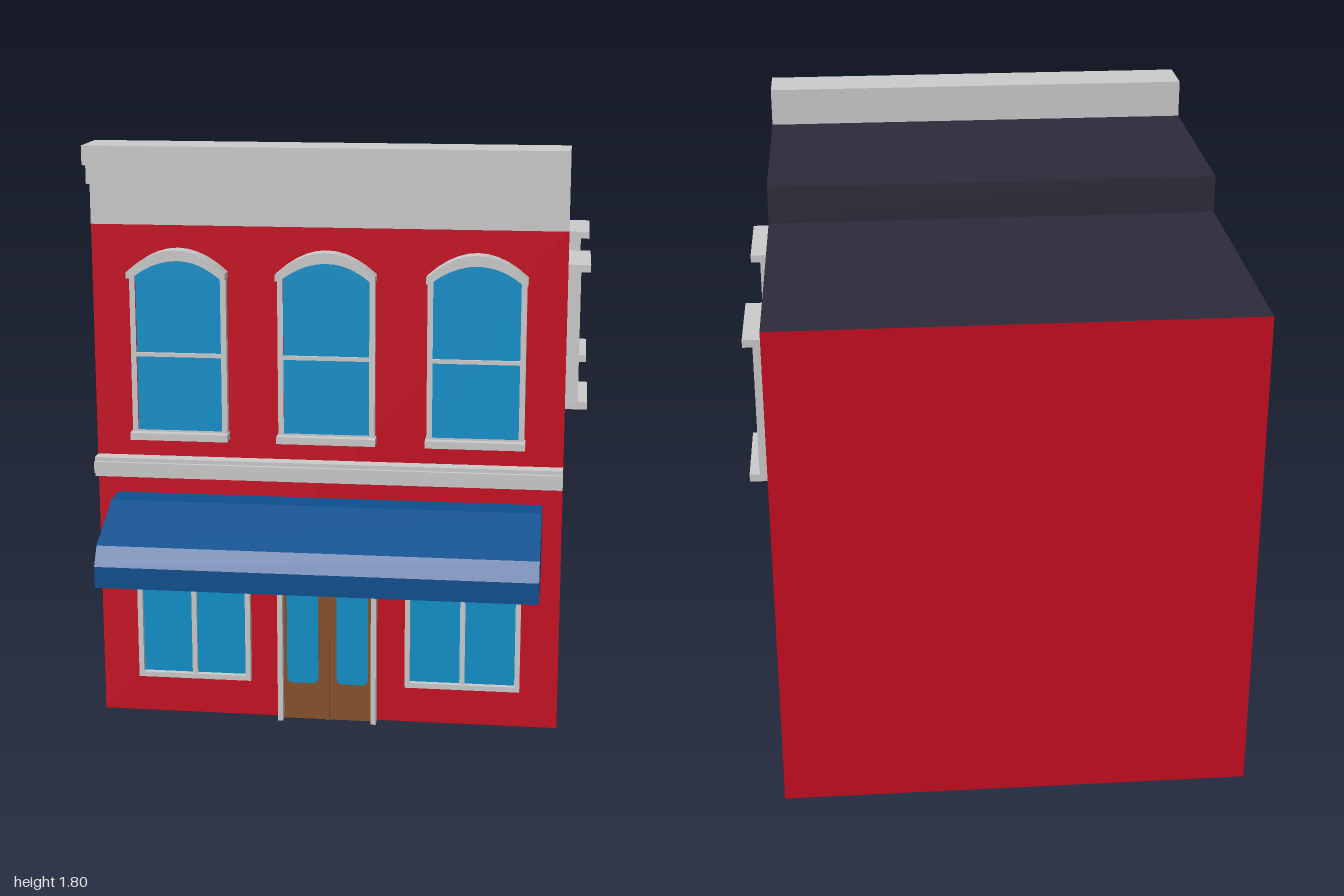
import * as THREE from 'three';

const mat = (name, color, side = THREE.FrontSide) => {
  const m = new THREE.MeshStandardMaterial({ color, side });
  m.name = name;
  return m;
};

export function createModel() {
  const brick = mat('brick red', 0xc60d20, THREE.DoubleSide);
  const roofing = mat('roof slate', 0x2d2b3a, THREE.DoubleSide);
  const trim = mat('trim grey', 0xcacbca);
  const glass = mat('window blue', 0x0e90ca);
  const canvas = mat('awning blue', 0x0d5090, THREE.DoubleSide);
  const wood = mat('door brown', 0x85522c);

  const W = 0.715, FRONT = 0.68, BACK = -1;
  const model = new THREE.Group();
  model.name = 'shopBuilding';

  const add = (parent, name, geometry, material) => {
    const mesh = new THREE.Mesh(geometry, material);
    mesh.name = name;
    parent.add(mesh);
    return mesh;
  };
  // Box given by its limits on each axis
  const box = (parent, name, material, x0, x1, y0, y1, z0, z1) => {
    const g = new THREE.BoxGeometry(x1 - x0, y1 - y0, z1 - z0);
    g.translate((x0 + x1) / 2, (y0 + y1) / 2, (z0 + z1) / 2);
    return add(parent, name, g, material);
  };
  const shapeOf = (pts) => new THREE.Shape(pts.map(([a, b]) => new THREE.Vector2(a, b)));
  // Flat extrusion of an x,y outline from z0 to z1
  const plate = (parent, name, material, shape, z0, z1) => {
    const g = new THREE.ExtrudeGeometry(shape, { depth: z1 - z0, bevelEnabled: false, curveSegments: 4 });
    g.translate(0, 0, z0);
    return add(parent, name, g, material);
  };
  // Extrusion of a z,y profile along x
  const profile = (parent, name, material, pts, x0, x1) => {
    const shape = shapeOf(pts.map(([z, y]) => [-z, y]));
    const g = new THREE.ExtrudeGeometry(shape, { depth: x1 - x0, bevelEnabled: false });
    g.translate(0, 0, x0);
    g.rotateY(Math.PI / 2);
    return add(parent, name, g, material);
  };

  // Walls: a thin shell, open underneath
  const LOW = 1.555, HIGH = 1.675, STEP = -0.1, PARAPET = 0.6;
  const sideOutline = [[BACK, 0], [FRONT, 0], [FRONT, LOW], [PARAPET, LOW], [PARAPET, HIGH], [STEP, HIGH], [STEP, LOW], [BACK, LOW]];
  for (const s of [1, -1]) {
    const g = new THREE.ShapeGeometry(shapeOf(sideOutline.map(([z, y]) => [-s * z, y])));
    g.rotateY(s * Math.PI / 2);
    g.translate(s * W, 0, 0);
    add(model, s > 0 ? 'leftWall' : 'rightWall', g, brick);
  }
  const wall = (name, z, turn) => {
    const g = new THREE.PlaneGeometry(2 * W, LOW);
    g.rotateY(turn);
    g.translate(0, LOW / 2, z);
    add(model, name, g, brick);
  };
  wall('frontWall', FRONT, 0);
  wall('backWall', BACK, Math.PI);

  // Roof in two levels with a riser between
  const roof = (name, z0, z1, y) => {
    const g = new THREE.PlaneGeometry(2 * W, z1 - z0);
    g.rotateX(-Math.PI / 2);
    g.translate(0, y, (z0 + z1) / 2);
    add(model, name, g, roofing);
  };
  roof('lowerRoof', BACK, STEP, LOW);
  roof('upperRoof', STEP, PARAPET, HIGH);
  const riser = new THREE.PlaneGeometry(2 * W, HIGH - LOW);
  riser.rotateY(Math.PI);
  riser.translate(0, (LOW + HIGH) / 2, STEP);
  add(model, 'roofRiser', riser, roofing);

  // Stepped cornice along the top of the front
  profile(model, 'cornice', trim, [[0.6, LOW], [0.682, LOW], [0.682, 1.68], [0.725, 1.68],
    [0.725, 1.74], [0.768, 1.74], [0.768, 1.798], [0.6, 1.798]], -W, W);

  // Belt course between the floors
  box(model, 'beltCourse', trim, -W, W, 0.78, 0.84, FRONT - 0.004, 0.724);
  box(model, 'beltMoulding', trim, -W, W, 0.793, 0.828, 0.72, 0.735);

  // Awning: thin folded canvas with closed ends, open below
  const fold = [[0.676, 0.72], [0.77, 0.72], [0.965, 0.635], [1, 0.58], [1, 0.515]];
  const lining = [[0.994, 0.515], [0.994, 0.578], [0.961, 0.63], [0.769, 0.714], [0.676, 0.714]];
  profile(model, 'awningCanvas', canvas, [...fold, ...lining], -0.655, 0.655);
  for (const s of [1, -1]) {
    profile(model, 'awningEnd', canvas, [...fold, [0.676, 0.515]], s * 0.652 - 0.003, s * 0.652 + 0.003);
  }

  // Windows are made against a wall at z = 0, facing +z
  const windowGroup = (name, x, z, turn) => {
    const g = new THREE.Group();
    g.name = name;
    g.position.set(x, 0, z);
    g.rotation.y = turn;
    model.add(g);
    return g;
  };
  // Rectangular ring of trim
  const ring = (parent, name, x0, x1, y0, y1, t, z0, z1) => {
    const shape = shapeOf([[x0, y0], [x1, y0], [x1, y1], [x0, y1]]);
    shape.holes.push(shapeOf([[x0 + t, y0 + t], [x0 + t, y1 - t], [x1 - t, y1 - t], [x1 - t, y0 + t]]));
    plate(parent, name, trim, shape, z0, z1);
  };

  // Upper front windows with arched hoods
  const arch = (half, spring, crown) => Array.from({ length: 11 }, (_, i) => {
    const t = i / 5 - 1;
    return [half * t, spring + (crown - spring) * (1 - t * t)];
  });
  for (const x of [-0.45, 0, 0.45]) {
    const g = windowGroup('archedWindow', x, FRONT, 0);
    const inner = arch(0.132, 1.405, 1.452);
    plate(g, 'archedGlass', glass, shapeOf([[0.132, 0.92], [-0.132, 0.92], ...inner]), 0.002, 0.008);
    const frame = shapeOf([[0.147, 0.91], [-0.147, 0.91], ...arch(0.147, 1.41, 1.465)]);
    frame.holes.push(shapeOf([[0.13, 0.928], [-0.13, 0.928], ...arch(0.13, 1.403, 1.45)]));
    plate(g, 'archedFrame', trim, frame, -0.004, 0.025);
    const hood = [...arch(0.15, 1.418, 1.487), ...arch(0.138, 1.4, 1.457).reverse()];
    hood.splice(11, 0, [0.15, 1.4]);
    hood.push([-0.15, 1.4]);
    plate(g, 'archedHood', trim, shapeOf(hood), 0, 0.054);
    box(g, 'windowSill', trim, -0.15, 0.15, 0.9, 0.922, 0, 0.05);
    box(g, 'meetingRail', trim, -0.132, 0.132, 1.154, 1.166, 0.005, 0.017);
  }

  // Side windows, two on each wall
  for (const s of [1, -1]) {
    for (const z of [0.181, -0.535]) {
      const g = windowGroup('sideWindow', s * W, z, s * Math.PI / 2);
      box(g, 'sideGlass', glass, -0.13, 0.13, 0.96, 1.37, 0.002, 0.008);
      ring(g, 'sideFrame', -0.145, 0.145, 0.945, 1.388, 0.018, -0.004, 0.04);
      box(g, 'windowHead', trim, -0.147, 0.147, 1.376, 1.4, 0, 0.07);
      box(g, 'windowSill', trim, -0.147, 0.147, 0.936, 0.96, 0, 0.07);
      box(g, 'meetingRail', trim, -0.13, 0.13, 1.162, 1.176, 0.005, 0.02);
    }
  }

  // Shop windows under the awning
  for (const x of [-0.42, 0.42]) {
    const g = windowGroup('shopWindow', x, FRONT, 0);
    box(g, 'shopGlass', glass, -0.17, 0.17, 0.13, 0.6, 0.002, 0.008);
    ring(g, 'shopFrame', -0.178, 0.178, 0.122, 0.612, 0.016, -0.004, 0.025);
    box(g, 'shopMullion', trim, -0.008, 0.008, 0.13, 0.6, 0.005, 0.018);
  }

  // Double door with rounded panes
  const door = windowGroup('doubleDoor', 0, FRONT, 0);
  const jambs = shapeOf([[-0.154, 0], [-0.138, 0], [-0.138, 0.48], [0.138, 0.48], [0.138, 0], [0.154, 0], [0.154, 0.496], [-0.154, 0.496]]);
  plate(door, 'doorFrame', trim, jambs, -0.004, 0.04);
  for (const s of [1, -1]) {
    box(door, 'doorLeaf', wood, s * 0.071 - 0.067, s * 0.071 + 0.067, 0, 0.48, 0.001, 0.014);
    const [x0, x1, y0, y1, r] = [s * 0.078 - 0.049, s * 0.078 + 0.049, 0.12, 0.44, 0.02];
    const pane = new THREE.Shape();
    pane.moveTo(x0 + r, y0);
    pane.lineTo(x1 - r, y0).quadraticCurveTo(x1, y0, x1, y0 + r);
    pane.lineTo(x1, y1 - r).quadraticCurveTo(x1, y1, x1 - r, y1);
    pane.lineTo(x0 + r, y1).quadraticCurveTo(x0, y1, x0, y1 - r);
    pane.lineTo(x0, y0 + r).quadraticCurveTo(x0, y0, x0 + r, y0);
    plate(door, 'doorPane', glass, pane, 0.013, 0.017);
  }
  box(door, 'doorMeetingStrip', wood, -0.007, 0.007, 0, 0.48, 0.001, 0.02);

  return model;
}
